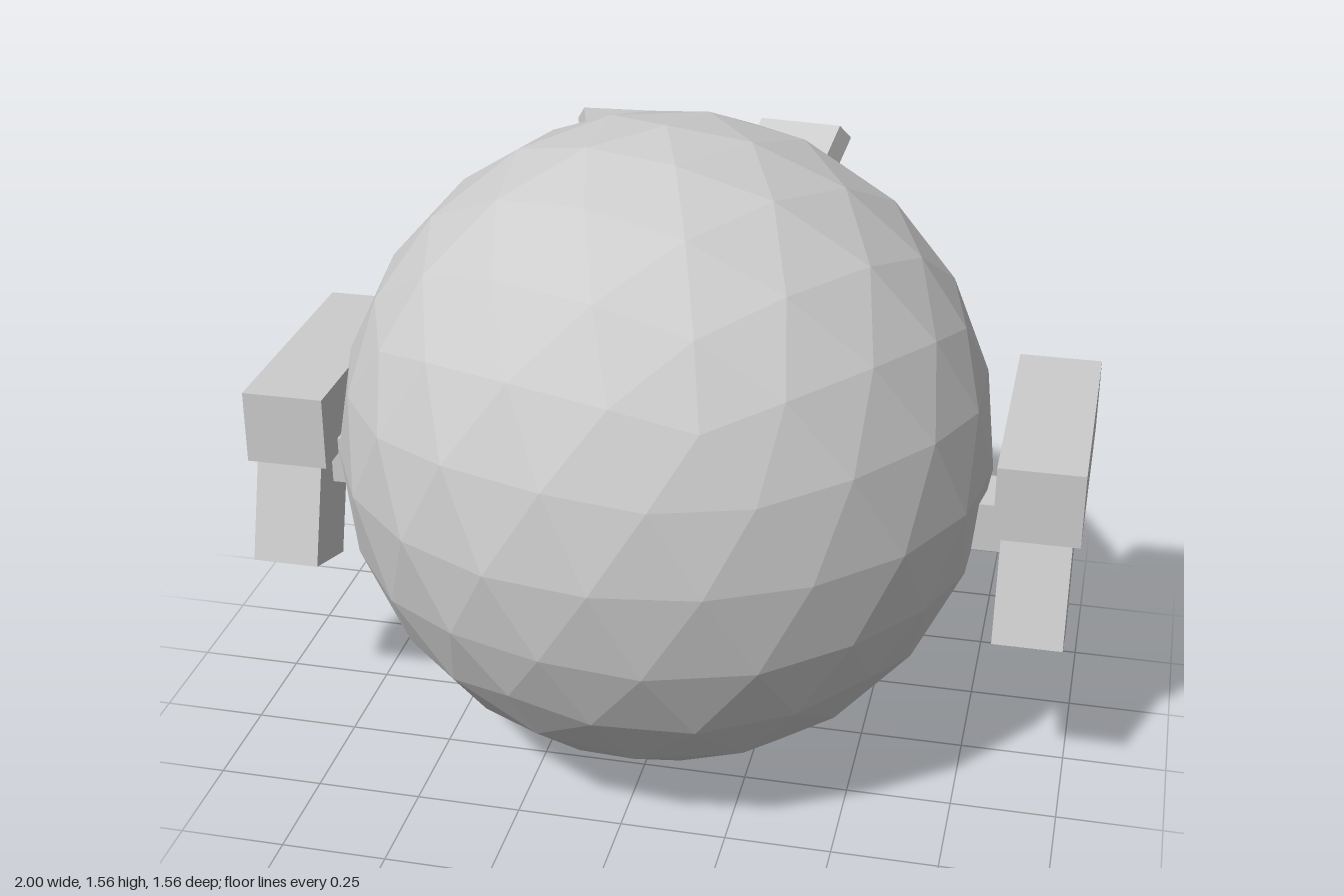
import * as THREE from 'three';

const CENTER = new THREE.Vector3(0, 0.782, 0);

export function createModel() {
  const model = new THREE.Group();
  const grey = new THREE.MeshStandardMaterial({ color: 0xcccccc, flatShading: true });

  function add(parent, name, geometry, x = 0, y = 0, z = 0) {
    const mesh = new THREE.Mesh(geometry, grey);
    mesh.name = name;
    mesh.position.set(x, y, z);
    parent.add(mesh);
    return mesh;
  }
  const box = (w, h, d) => new THREE.BoxGeometry(w, h, d);
  // disc whose axis points along local z
  const disc = (r, depth, sides) => new THREE.CylinderGeometry(r, r, depth, sides).rotateX(Math.PI / 2);

  // group on the ball's surface with its local z pointing outwards
  function surfaceGroup(name, direction, distance) {
    const group = new THREE.Group();
    const n = direction.normalize();
    group.name = name;
    group.position.copy(CENTER).addScaledVector(n, distance);
    group.lookAt(CENTER.clone().addScaledVector(n, 3));
    model.add(group);
    return group;
  }

  // faceted ball with a five-sided corner at the top
  const ball = new THREE.IcosahedronGeometry(0.78, 3);
  ball.rotateZ(-Math.atan(2 / (1 + Math.sqrt(5))));
  add(model, 'body', ball, 0, CENTER.y, 0);

  for (const s of [-1, 1]) {
    const side = s > 0 ? 'left' : 'right';

    // eye: base disc, iris and small off-centre pupil
    const eye = surfaceGroup(side + 'Eye', new THREE.Vector3(s * 0.225, 0.405, -0.635), 0.78);
    add(eye, 'eyeDisc', disc(0.135, 0.06, 16), 0, 0, -0.005);
    add(eye, 'iris', disc(0.08, 0.04, 12), 0, 0, 0.025);
    add(eye, 'pupil', disc(0.03, 0.03, 10), -0.03, 0.03, 0.042);

    // slanted brow
    const brow = surfaceGroup(side + 'Brow', new THREE.Vector3(s * 0.218, 0.578, -0.555), 0.815);
    add(brow, 'brow', box(0.25, 0.055, 0.09)).rotation.z = -s * 0.2;

    // short arm and the blaster it holds
    add(model, side + 'Arm', box(0.25, 0.12, 0.15), s * 0.725, 0.677, 0.025);
    const blaster = new THREE.Group();
    blaster.name = side + 'Blaster';
    blaster.position.x = s * 0.9;
    model.add(blaster);
    add(blaster, 'barrel', box(0.2, 0.182, 0.63), 0, 0.788, -0.128);
    add(blaster, 'muzzle', box(0.16, 0.134, 0.06), 0, 0.79, -0.451);
    add(blaster, 'grip', box(0.163, 0.32, 0.184), 0, 0.581, 0.11).rotation.x = -0.3;
    add(blaster, 'trigger', box(0.1, 0.062, 0.16), 0, 0.658, -0.06);
  }

  // small straight mouth
  const mouth = surfaceGroup('mouth', new THREE.Vector3(0, 0.158, -0.765), 0.77);
  add(mouth, 'mouthBar', box(0.235, 0.047, 0.045));

  return model;
}
